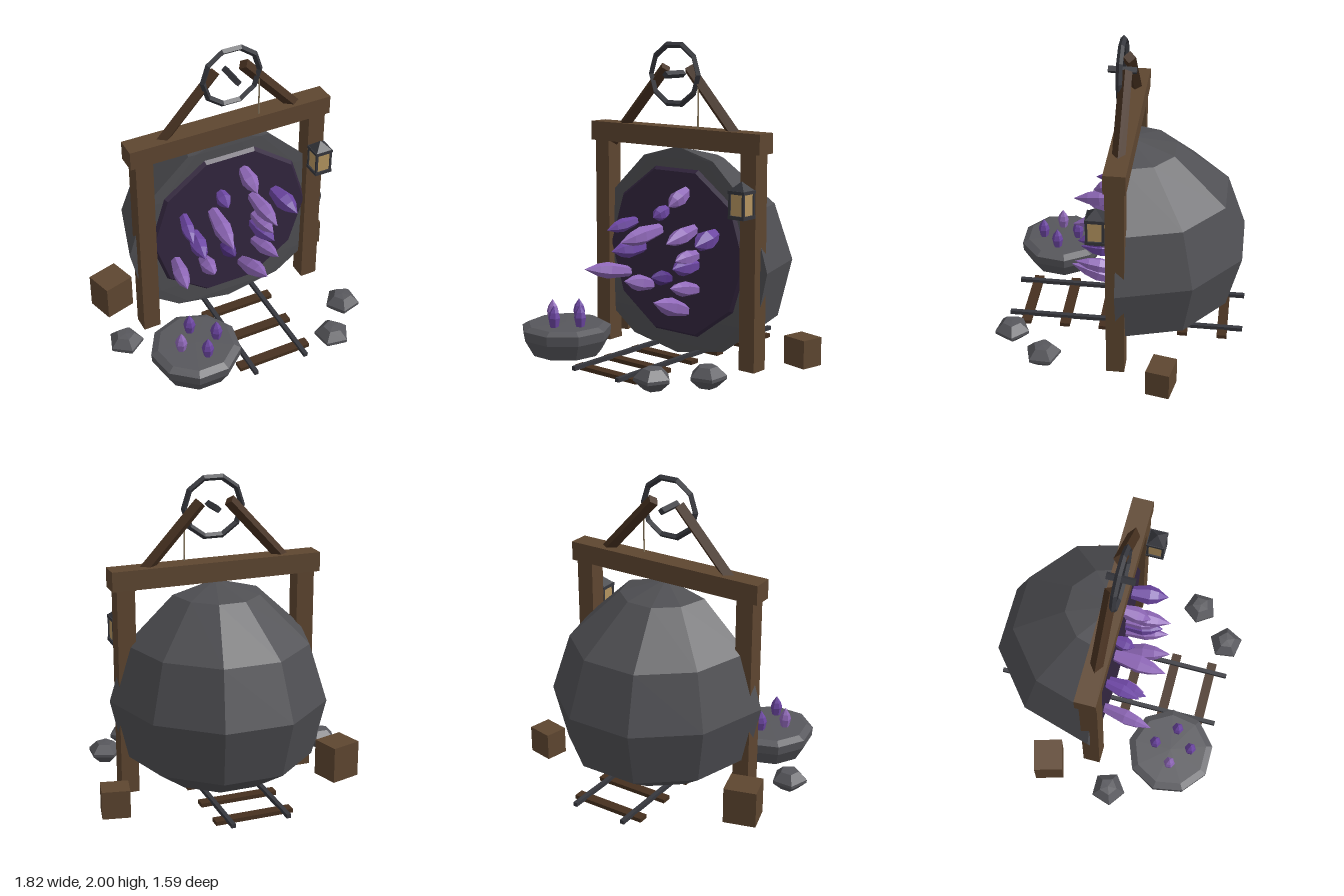
import * as THREE from 'three';

const flat = (color) => new THREE.MeshStandardMaterial({ color, flatShading: true });
const wood = flat(0x5e4630), darkWood = flat(0x46301f), iron = flat(0x36373d);
const stone = flat(0x57575c), boulderStone = flat(0x4f4f53), cavity = flat(0x33263f);
const ropeMat = flat(0x8a7a60), glass = flat(0xb59560);
const purples = [flat(0x8f68b8), flat(0x6c46a2), flat(0x533284)];

export function createModel() {
  const root = new THREE.Group();

  const add = (name, geo, mat, x = 0, y = 0, z = 0, parent = root) => {
    const m = new THREE.Mesh(geo, mat);
    m.name = name;
    m.position.set(x, y, z);
    parent.add(m);
    return m;
  };
  const box = (name, w, h, d, mat, x, y, z, parent) =>
    add(name, new THREE.BoxGeometry(w, h, d), mat, x, y, z, parent);
  const lathe = (pts, sides, start = 0) =>
    new THREE.LatheGeometry(pts.map(([r, y]) => new THREE.Vector2(r, y)), sides, start);
  const group = (name) => {
    const g = new THREE.Group();
    g.name = name;
    root.add(g);
    return g;
  };

  const CX = 0.035; // centre line of the gateway

  // Boulder: faceted sphere whose front half is pressed almost flat
  const rock = lathe([[0, -0.62], [0.53, -0.55], [0.88, -0.37], [1, 0], [0.84, 0.36], [0.4, 0.65], [0, 0.725]],
    10, Math.PI / 2);
  rock.scale(0.705, 1, 0.79);
  const p = rock.attributes.position;
  for (let i = 0; i < p.count; i++) if (p.getZ(i) > 0) p.setZ(i, p.getZ(i) * 0.02);
  add('boulder', rock, boulderStone, CX, 0.62, -0.02);

  // Dark disc at the mouth, with a bevelled rim
  const disc = new THREE.CylinderGeometry(0.545, 0.58, 0.04, 10, 1, false, Math.PI / 2);
  disc.rotateX(Math.PI / 2);
  add('caveMouth', disc, cavity, CX, 0.67, -0.01);

  // Crystal: narrow foot, wide waist, pointed tip
  const crystal = (name, base, dir, length, r, mat, parent) => {
    const geo = lathe([[0, 0], [r * 0.6, 0], [r, length * 0.5], [r * 0.75, length * 0.72], [0, length]], 6);
    const m = add(name, geo, mat, base.x, base.y, base.z, parent);
    m.quaternion.setFromUnitVectors(new THREE.Vector3(0, 1, 0), dir.clone().normalize());
  };

  // Crystals growing out of the mouth: x, y, reach, radius, shade
  const mouthCrystals = group('mouthCrystals');
  [
    [0.13, 1.03, 0.19, 0.055, 0], [-0.04, 0.915, 0.13, 0.05, 1], [-0.32, 0.815, 0.24, 0.045, 1],
    [-0.105, 0.78, 0.36, 0.06, 0], [0.205, 0.81, 0.31, 0.055, 0], [0.375, 0.8, 0.25, 0.065, 1],
    [-0.255, 0.67, 0.27, 0.06, 1], [0.22, 0.67, 0.24, 0.05, 0], [0.215, 0.615, 0.26, 0.06, 1],
    [-0.4, 0.515, 0.35, 0.055, 0], [-0.18, 0.455, 0.24, 0.055, 0], [-0.015, 0.505, 0.18, 0.05, 2],
    [0.225, 0.48, 0.3, 0.05, 0], [0.13, 0.355, 0.34, 0.06, 0],
  ].forEach(([x, y, reach, r, shade]) => {
    const dir = new THREE.Vector3((x - CX) * 0.5, (0.67 - y) * 1.1, 1);
    const base = new THREE.Vector3(x, y, reach / 2).addScaledVector(dir, -reach / 2 - 0.01);
    crystal('mouthCrystal', base, dir, dir.length() * (reach + 0.01), r, purples[shade], mouthCrystals);
  });

  // Timber gateway
  const frame = group('frame');
  for (const s of [-1, 1]) {
    box('post', 0.115, 1.37, 0.115, wood, CX + s * 0.598, 0.685, -0.018, frame);
    // diagonal brace, square section turned on edge
    const a = new THREE.Vector3(CX + s * 0.55, 1.345, -0.018);
    const b = new THREE.Vector3(CX + s * 0.095, 1.84, -0.018);
    const d = b.clone().sub(a);
    const brace = add('brace', new THREE.CylinderGeometry(0.04, 0.04, d.length(), 4), darkWood, 0, 0, 0, frame);
    brace.position.copy(a).add(b).multiplyScalar(0.5);
    brace.quaternion.setFromUnitVectors(new THREE.Vector3(0, 1, 0), d.normalize());
  }
  box('beam', 1.375, 0.125, 0.135, wood, 0.033, 1.408, -0.022, frame);

  // Pulley wheel, axle and rope
  const pulley = group('pulley');
  add('wheel', new THREE.TorusGeometry(0.191, 0.02, 4, 10), iron, CX, 1.8, 0.012, pulley);
  const axle = new THREE.CylinderGeometry(0.024, 0.024, 0.175, 4);
  axle.rotateX(Math.PI / 2);
  add('axle', axle, iron, CX, 1.8, 0.013, pulley);
  add('rope', new THREE.CylinderGeometry(0.005, 0.005, 0.27, 5), ropeMat, 0.225, 1.605, 0.012, pulley);

  // Lantern on the left post
  const lantern = group('lantern');
  lantern.position.set(0.632, 0, 0.1);
  box('lanternBase', 0.12, 0.022, 0.12, iron, 0, 0.974, 0, lantern);
  box('lanternGlass', 0.1, 0.15, 0.1, glass, 0, 1.055, 0, lantern);
  box('lanternTop', 0.12, 0.02, 0.12, iron, 0, 1.125, 0, lantern);
  for (const sx of [-1, 1]) for (const sz of [-1, 1])
    box('lanternBar', 0.014, 0.16, 0.014, iron, sx * 0.05, 1.055, sz * 0.05, lantern);
  const roof = new THREE.ConeGeometry(0.078, 0.055, 4);
  roof.rotateY(Math.PI / 4);
  add('lanternRoof', roof, iron, 0, 1.162, 0, lantern);

  // Rails and sleepers
  const track = group('track');
  for (const x of [-0.15, 0.21]) box('rail', 0.028, 0.026, 1.55, iron, x, 0.034, -0.025, track);
  for (let i = 0; i < 6; i++) box('sleeper', 0.505, 0.026, 0.065, darkWood, 0.032, 0.013, 0.632 - i * 0.26, track);

  // Broad stone with upright crystals
  const pile = group('crystalStone');
  add('broadStone', lathe([[0, 0.015], [0.17, 0.015], [0.225, 0.03], [0.285, 0.135], [0.29, 0.195], [0.245, 0.22], [0, 0.225]], 9, 0.35),
    stone, -0.46, 0, 0.5, pile);
  [[-0.45, 0.39, 1], [-0.565, 0.515, 0], [-0.32, 0.515, 1], [-0.435, 0.63, 1]].forEach(([x, z, shade]) =>
    crystal('stoneCrystal', new THREE.Vector3(x, 0.2, z), new THREE.Vector3(0, 1, 0), 0.16, 0.039, purples[shade], pile));

  // Loose stones
  const pebble = lathe([[0, 0.005], [0.055, 0.01], [0.115, 0.065], [0.115, 0.085], [0.06, 0.138], [0, 0.142]], 5);
  [[-0.8, 0.15, 0], [0.655, 0.45, 0.9], [0.44, 0.69, 0.45]].forEach(([x, z, turn]) => {
    add('looseStone', pebble, stone, x, 0, z).rotation.y = turn;
  });

  // Crates
  box('crate', 0.208, 0.24, 0.19, wood, -0.715, 0.12, -0.295).rotation.y = 0.28;
  box('crate', 0.175, 0.18, 0.152, wood, 0.805, 0.09, -0.32).rotation.y = -0.2;

  return root;
}
